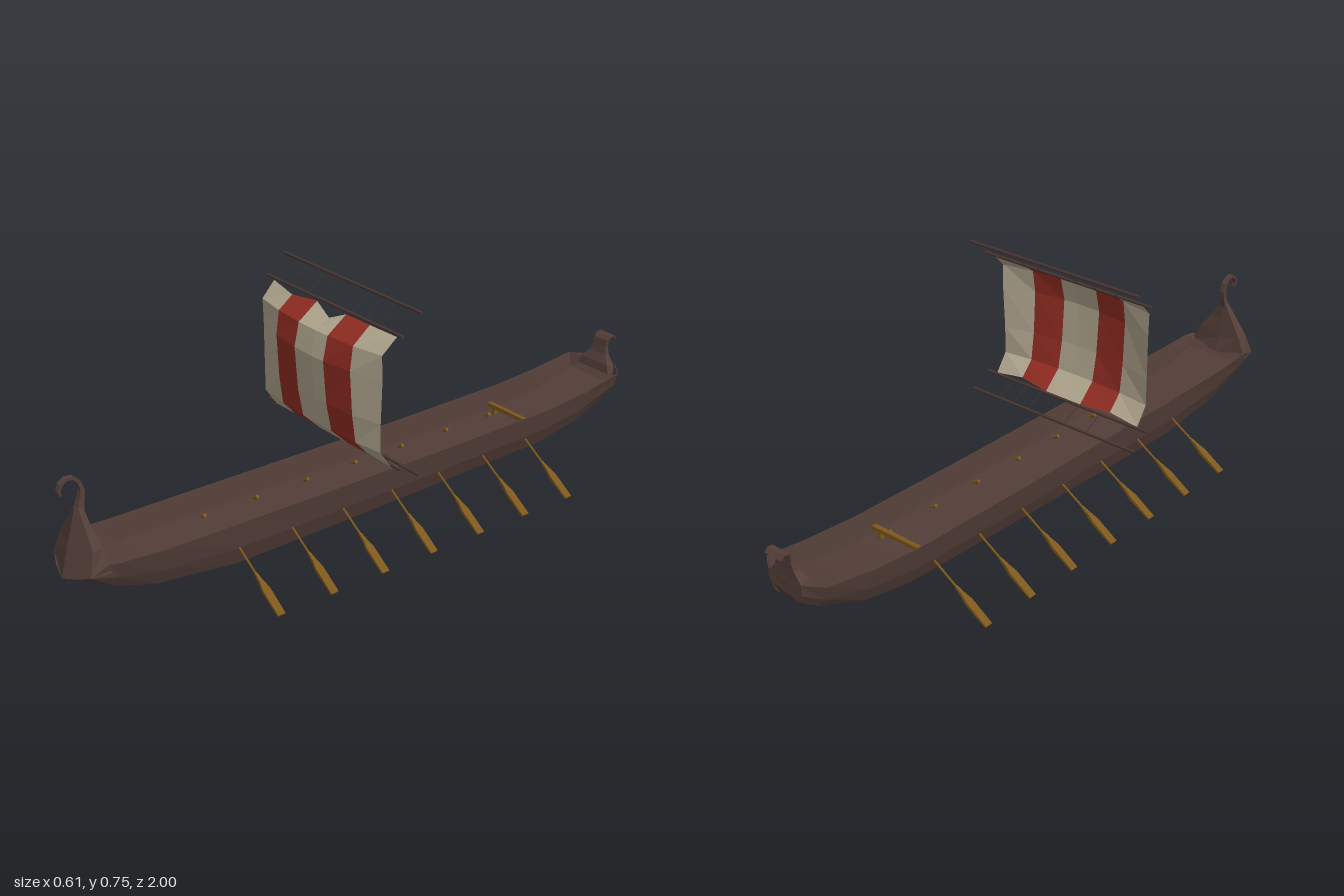
import * as THREE from 'three';

const mat = (name, color, side = THREE.FrontSide) => {
  const m = new THREE.MeshStandardMaterial({ color, side });
  m.name = name;
  return m;
};

// Skin closed rings of points with flat faces and capped ends
function loft(rings) {
  const tris = [], n = rings[0].length;
  for (let i = 0; i < rings.length - 1; i++)
    for (let j = 0; j < n; j++) {
      const k = (j + 1) % n, A = rings[i], B = rings[i + 1];
      tris.push([A[j], A[k], B[k]], [A[j], B[k], B[j]]);
    }
  const cap = (r, flip) => {
    const pts2 = r.map(p => new THREE.Vector2(p[0], p[1]));
    const flat = Math.abs(THREE.ShapeUtils.area(pts2)) < 1e-6;
    const contour = flat ? r.map(p => new THREE.Vector2(p[0], p[2])) : pts2;
    const forward = THREE.ShapeUtils.area(contour) > 0;
    if (Math.abs(THREE.ShapeUtils.area(contour)) < 1e-7) {
      for (let j = 1; j < n - 1; j++) tris.push(flip ? [r[0], r[j + 1], r[j]] : [r[0], r[j], r[j + 1]]);
      return;
    }
    for (const [a, b, c] of THREE.ShapeUtils.triangulateShape(contour, [])) {
      const same = THREE.ShapeUtils.area([contour[a], contour[b], contour[c]]) > 0 === forward;
      tris.push(same !== flip ? [r[a], r[b], r[c]] : [r[a], r[c], r[b]]);
    }
  };
  cap(rings[0], true);
  cap(rings[rings.length - 1], false);
  // Turn every face outward by the sign of the enclosed volume
  let vol = 0;
  for (const [a, b, c] of tris)
    vol += a[0] * (b[1] * c[2] - b[2] * c[1]) + a[1] * (b[2] * c[0] - b[0] * c[2]) + a[2] * (b[0] * c[1] - b[1] * c[0]);
  if (vol < 0) tris.forEach(t => t.reverse());
  return flatGeometry(tris);
}

function flatGeometry(tris) {
  const g = new THREE.BufferGeometry();
  g.setAttribute('position', new THREE.Float32BufferAttribute(tris.flat(2), 3));
  g.computeVertexNormals();
  return g;
}

// Complete a half outline (x >= 0) with its mirror image
const mirrorRing = half => [...half, ...half.slice().reverse().map(([x, y, z]) => [-x, y, z])];

// Rectangular ribbon along a path of [z, y, half thickness, half width]
function ribbon(path) {
  return loft(path.map(([z, y, t, w], i) => {
    const a = path[Math.max(i - 1, 0)], b = path[Math.min(i + 1, path.length - 1)];
    const len = Math.hypot(b[0] - a[0], b[1] - a[1]);
    const nz = -(b[1] - a[1]) / len * t, ny = (b[0] - a[0]) / len * t;
    return [[w, y + ny, z + nz], [-w, y + ny, z + nz], [-w, y - ny, z - nz], [w, y - ny, z - nz]];
  }));
}

export function createModel() {
  const model = new THREE.Group();
  model.name = 'sailingGalley';
  const hullBrown = mat('hullBrown', 0x533e38);
  const sparBrown = mat('sparBrown', 0x4a3733);
  const oarWood = mat('oarWood', 0x7c571d);
  const ropeGrey = mat('ropeGrey', 0x3a3534);
  const sailCream = mat('sailCream', 0xb2a78f, THREE.DoubleSide);
  const sailRed = mat('sailRed', 0x932d23, THREE.DoubleSide);

  const add = (name, geo, material, parent = model) => {
    const m = new THREE.Mesh(geo, material);
    m.name = name;
    parent.add(m);
    return m;
  };
  const rod = (name, a, b, r, material, parent, sides = 6) => {
    const A = new THREE.Vector3(...a), B = new THREE.Vector3(...b);
    const m = add(name, new THREE.CylinderGeometry(r, r, A.distanceTo(B), sides), material, parent);
    m.position.copy(A).add(B).multiplyScalar(0.5);
    m.quaternion.setFromUnitVectors(new THREE.Vector3(0, 1, 0), B.sub(A).normalize());
  };

  // Hull: z, keel height, rim height, deck height, width factor
  const section = ([z, yb, yr, yf, w]) => {
    const h = yr - yb;
    return mirrorRing([
      [0.042 * w, yb, z], [0.085 * w, yb + 0.15 * h, z], [0.106 * w, yb + 0.5 * h, z],
      [0.121 * w, yr, z], [0.117 * w, yr, z], [0.105 * w, yf, z],
    ]);
  };
  const stations = [
    [-0.93, 0.163, 0.245, 0.2, 0.92], [-0.78, 0.098, 0.223, 0.16, 0.98], [-0.62, 0.068, 0.21, 0.142, 1],
    [-0.2, 0.055, 0.205, 0.14, 1], [0.2, 0.046, 0.205, 0.14, 1], [0.52, 0.041, 0.206, 0.14, 1],
    [0.77, 0.075, 0.208, 0.145, 0.98], [0.89, 0.115, 0.214, 0.18, 0.94],
  ];
  const sternEnd = mirrorRing([
    [0.025, 0.182, -0.96], [0.045, 0.19, -0.965], [0.058, 0.215, -0.967],
    [0.062, 0.248, -0.967], [0.058, 0.248, -0.967], [0.05, 0.235, -0.966],
  ]);
  const noseEnd = mirrorRing([
    [0.001, 0.157, 0.999], [0.05, 0.172, 0.987], [0.097, 0.188, 0.967],
    [0.106, 0.215, 0.915], [0.102, 0.215, 0.913], [0.09, 0.2, 0.908],
  ]);
  add('hull', loft([sternEnd, ...stations.map(section), noseEnd]), hullBrown);

  // Prow: front ridge, shoulders and rear face narrowing into the stem
  const prowRing = ([yf, zf, xs, ys, zs, xb, zb, yr, zr]) =>
    mirrorRing([[0.001, yf, zf], [xs, ys, zs], [xb, ys, zb], [0.001, yr, zr]]);
  add('prow', loft([
    [0.157, 0.999, 0.097, 0.188, 0.967, 0.106, 0.912, 0.19, 0.895],
    [0.25, 0.975, 0.082, 0.25, 0.948, 0.076, 0.915, 0.235, 0.912],
    [0.3, 0.96, 0.046, 0.3, 0.945, 0.04, 0.925, 0.29, 0.92],
    [0.345, 0.948, 0.012, 0.345, 0.943, 0.011, 0.928, 0.345, 0.926],
  ].map(prowRing)), hullBrown);
  add('stemCurl', ribbon([
    [0.938, 0.33, 0.011, 0.012], [0.928, 0.365, 0.008, 0.008], [0.924, 0.39, 0.006, 0.008],
    [0.931, 0.415, 0.005, 0.008], [0.947, 0.431, 0.004, 0.008], [0.967, 0.433, 0.004, 0.008],
    [0.983, 0.421, 0.004, 0.008], [0.989, 0.404, 0.004, 0.007], [0.984, 0.39, 0.003, 0.006],
  ]), hullBrown);

  // Stern post
  add('sternCurl', ribbon([
    [-0.948, 0.225, 0.018, 0.066], [-0.95, 0.25, 0.015, 0.056], [-0.957, 0.275, 0.008, 0.035],
    [-0.961, 0.3, 0.005, 0.027], [-0.964, 0.32, 0.004, 0.028], [-0.974, 0.331, 0.003, 0.03],
    [-0.988, 0.332, 0.003, 0.03], [-0.997, 0.321, 0.003, 0.03],
  ]), hullBrown);

  // Sail: columns of cloth in alternating colours
  const cols = [-0.26, -0.155, -0.05, 0.03, 0.08, 0.18, 0.28];
  const dip = [0, 0.01, 0, 0.02, 0, 0, 0];
  const hem = [0, 0.008, 0, 0, 0, 0.01, 0];
  const bulge = [0, 0.65, 0.95, 1, 0.95, 0.65, 0];
  const rows = [[0.31, 0.132, 0.132], [0.365, 0.17, 0.19], [0.45, 0.17, 0.207],
    [0.58, 0.17, 0.217], [0.65, 0.172, 0.2], [0.696, 0.13, 0.135]];
  const sailPoint = (c, r) => {
    const [y, zEdge, zMid] = rows[r], top = r === rows.length - 1;
    const x = cols[c] + (top && c === 6 ? 0.01 : 0) + (c === 6 && r < 3 ? -0.007 : 0);
    const shift = top ? -dip[c] : r === 0 ? hem[c] : 0;
    return [x, y + shift, zEdge + (zMid - zEdge) * bulge[c] + Math.abs(shift)];
  };
  const sail = new THREE.Group();
  sail.name = 'sail';
  model.add(sail);
  for (let c = 0; c < cols.length - 1; c++) {
    const tris = [];
    for (let r = 0; r < rows.length - 1; r++) {
      const a = sailPoint(c, r), b = sailPoint(c + 1, r), d = sailPoint(c + 1, r + 1), e = sailPoint(c, r + 1);
      tris.push([a, b, d], [a, d, e]);
    }
    const red = c === 1 || c === 4;
    add(red ? 'redStripe' : 'creamPanel', flatGeometry(tris), red ? sailRed : sailCream, sail);
  }

  // Yards above and below the sail, tied together by short ropes
  const rigging = new THREE.Group();
  rigging.name = 'rigging';
  model.add(rigging);
  for (const [y, z] of [[0.751, 0.06], [0.698, 0.122], [0.311, 0.125], [0.276, 0.06]])
    rod('yard', [-0.304, y, z], [0.304, y, z], 0.0045, sparBrown, rigging);
  for (const x of [-0.19, -0.11, -0.045, 0.09, 0.146, 0.202])
    rod('upperRope', [x, 0.698, 0.122], [x, 0.751, 0.06], 0.0012, ropeGrey, rigging, 4);
  for (const x of [-0.228, -0.13, -0.05, 0.09, 0.146, 0.202])
    rod('lowerRope', [x, 0.311, 0.125], [x, 0.276, 0.06], 0.0012, ropeGrey, rigging, 4);

  // Oars: seven on each side, sloping down to the water
  const bladeGeo = loft([[0.13, 0.003, 0.0035], [0.158, 0.005, 0.006], [0.185, 0.005, 0.012], [0.268, 0.003, 0.012]]
    .map(([x, t, w]) => [[x, t, w], [x, t, -w], [x, -t, -w], [x, -t, w]]));
  for (const side of [1, -1])
    for (let i = 0; i < 7; i++) {
      const holder = new THREE.Group(), oar = new THREE.Group();
      holder.name = side > 0 ? 'leftOar' : 'rightOar';
      oar.name = 'oar';
      holder.position.z = -0.54 + 0.177 * i;
      holder.rotation.y = side > 0 ? 0 : Math.PI;
      oar.position.set(0.068, 0.148, 0);
      oar.rotation.z = Math.atan2(-0.144, 0.229);
      rod('oarShaft', [0, 0, 0], [0.16, 0, 0], 0.0035, oarWood, oar);
      rod('oarHandle', [-0.008, 0, 0], [0.018, 0, 0], 0.006, oarWood, oar);
      add('oarBlade', bladeGeo, oarWood, oar);
      holder.add(oar);
      model.add(holder);
    }

  // Helmsman's bench
  add('bench', new THREE.BoxGeometry(0.19, 0.012, 0.015), oarWood).position.set(0, 0.168, -0.57);
  for (const x of [-0.07, 0.07])
    add('benchPost', new THREE.BoxGeometry(0.012, 0.03, 0.012), oarWood).position.set(x, 0.152, -0.57);

  return model;
}
